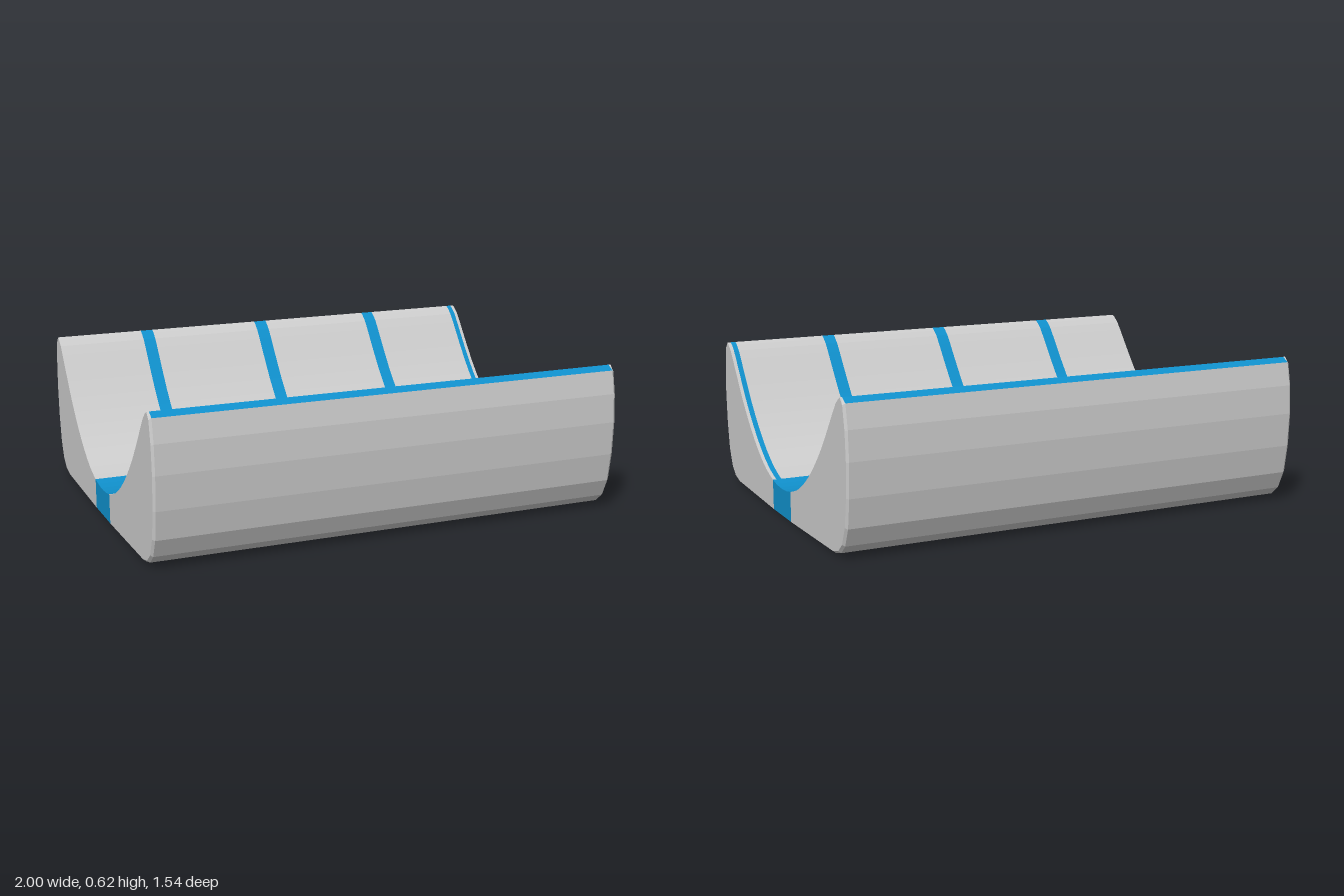
import * as THREE from 'three';

const grey = new THREE.MeshStandardMaterial({ color: 0xcccccc, flatShading: true });
const blue = new THREE.MeshStandardMaterial({ color: 0x1090cc, flatShading: true });

// Cross-section points are Vector2(z, y)
const points = (list) => list.map(([z, y]) => new THREE.Vector2(z, y));

// Surface between two matching cross-section rows at x0 and x1; side = -1 mirrors it in z
function strip(name, row0, row1, x0, x1, material, side = 1) {
  const pos = [];
  for (let i = 0; i < row0.length - 1; i++) {
    const a = [x0, row0[i].y, side * row0[i].x];
    const b = [x1, row1[i].y, side * row1[i].x];
    const c = [x1, row1[i + 1].y, side * row1[i + 1].x];
    const d = [x0, row0[i + 1].y, side * row0[i + 1].x];
    const quad = side > 0 ? [a, d, c, a, c, b] : [a, b, c, a, c, d];
    quad.forEach((p) => pos.push(...p));
  }
  const geometry = new THREE.BufferGeometry();
  geometry.setAttribute('position', new THREE.Float32BufferAttribute(pos, 3));
  geometry.computeVertexNormals();
  const mesh = new THREE.Mesh(geometry, material);
  mesh.name = name;
  return mesh;
}

// Flat end face at x = +1 or -1
function endCap(name, outline, end, material, side = 1) {
  const shape = new THREE.Shape(outline.map((p) => new THREE.Vector2(-end * side * p.x, p.y)));
  const geometry = new THREE.ShapeGeometry(shape);
  geometry.rotateY(end * Math.PI / 2);
  geometry.translate(end, 0, 0);
  const mesh = new THREE.Mesh(geometry, material);
  mesh.name = name;
  return mesh;
}

export function createModel() {
  const model = new THREE.Group();
  model.name = 'curvedTrough';

  // Concave inner curve, from the centre band up to the ridge
  const inner = new THREE.SplineCurve(points([
    [0.112, 0.127], [0.2, 0.155], [0.3, 0.211], [0.4, 0.29], [0.5, 0.39],
    [0.6, 0.512], [0.665, 0.592], [0.71, 0.624],
  ])).getPoints(14);

  // Faceted outer curve, from the ridge down and under to the centre band
  const outer = points([
    [0.71, 0.624], [0.742, 0.606], [0.761, 0.51], [0.768, 0.39], [0.761, 0.25],
    [0.742, 0.13], [0.708, 0.055], [0.665, 0.018], [0.605, 0.003], [0.112, 0],
  ]);
  // Slightly inset outer curve for the bevelled ends
  const inset = outer.map((p, i) => (i === 0 || i === outer.length - 1
    ? p.clone()
    : new THREE.Vector2(p.x * 0.99, p.y + (0.31 - p.y) * 0.025)));

  // Breaks along x: every second panel is a stripe
  const breaks = [-1, -0.615, -0.56, -0.06, -0.003, 0.497, 0.552, 0.963, 0.985, 1];

  for (const side of [1, -1]) {
    const wall = new THREE.Group();
    wall.name = side > 0 ? 'frontWall' : 'backWall';

    for (let i = 0; i < breaks.length - 1; i++) {
      const stripe = i % 2 === 1;
      wall.add(strip(stripe ? 'innerStripe' : 'innerPanel', inner, inner,
        breaks[i], breaks[i + 1], stripe ? blue : grey, side));
    }

    const ridge = outer.slice(0, 2);
    const shell = outer.slice(1);
    wall.add(strip('ridgeStrip', ridge, ridge, -0.99, 0.99, blue, side));
    wall.add(strip('outerShell', shell, shell, -0.99, 0.99, grey, side));
    wall.add(strip('rightBevel', inset, outer, -1, -0.99, grey, side));
    wall.add(strip('leftBevel', outer, inset, 0.99, 1, grey, side));

    const outline = [...inner.slice(0, -1), ...inset];
    wall.add(endCap('leftEnd', outline, 1, grey, side));
    wall.add(endCap('rightEnd', outline, -1, grey, side));
    model.add(wall);
  }

  // Centre band running through the full thickness
  const band = new THREE.Group();
  band.name = 'centreBand';
  const top = points([
    [-0.112, 0.127], [-0.067, 0.119], [-0.022, 0.115],
    [0.022, 0.115], [0.067, 0.119], [0.112, 0.127],
  ]);
  const bottom = points([[0.112, 0], [-0.112, 0]]);
  band.add(strip('bandTop', top, top, -1, 1, blue));
  band.add(strip('bandBottom', bottom, bottom, -1, 1, blue));
  for (const end of [1, -1]) band.add(endCap('bandEnd', [...top, ...bottom], end, blue));
  model.add(band);

  return model;
}
